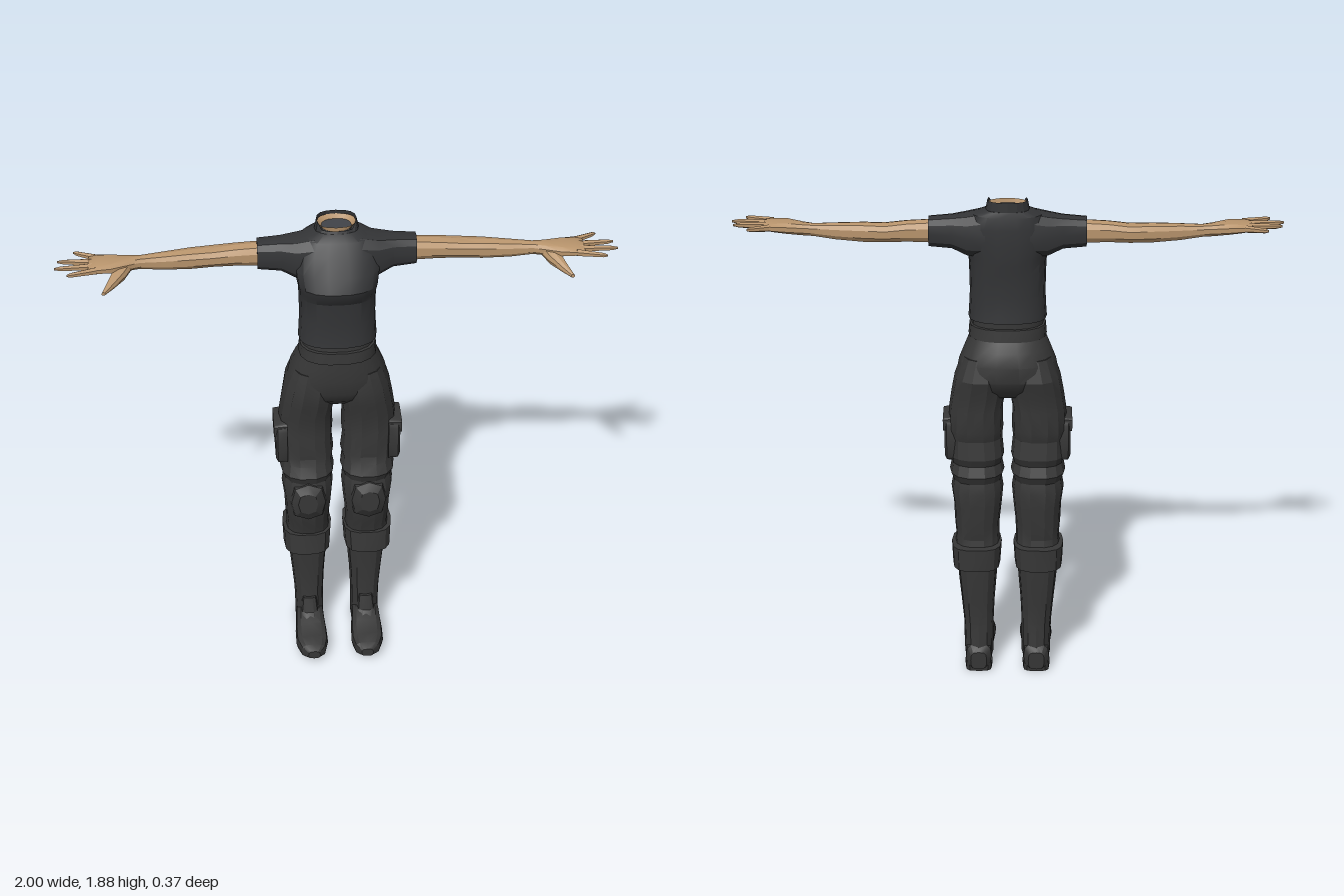
import * as THREE from 'three';
import { toCreasedNormals } from 'three/addons/utils/BufferGeometryUtils.js';

const mat = (name, color, side = THREE.FrontSide) => {
  const m = new THREE.MeshStandardMaterial({ color, side });
  m.name = name;
  return m;
};

// Skin a tube through sections [t, a0, a1, b0, b1] along an axis.
// axis y: a = x, b = z (top to bottom); axis x: a = y, b = z; axis z: a = x, b = y (ascending).
function loft(axis, sections, { sides = 12, n = 2.4, s = 1, caps = true, crease = 0.45 } = {}) {
  const pos = [], idx = [];
  const put = (t, a, b) => {
    const p = axis === 'y' ? [a, t, b] : axis === 'x' ? [t, a, b] : [a, b, t];
    pos.push(p[0] * s, p[1], p[2]);
  };
  const tri = (a, b, c) => (s > 0 ? idx.push(a, b, c) : idx.push(a, c, b));
  const pow = (v) => Math.sign(v) * Math.pow(Math.abs(v), 2 / n);
  for (const [t, a0, a1, b0, b1] of sections) {
    for (let j = 0; j < sides; j++) {
      const q = (j / sides) * Math.PI * 2;
      put(t, (a0 + a1) / 2 + ((a1 - a0) / 2) * pow(Math.cos(q)),
        (b0 + b1) / 2 + ((b1 - b0) / 2) * pow(Math.sin(q)));
    }
  }
  const last = sections.length - 1;
  for (let i = 0; i < last; i++) {
    for (let j = 0; j < sides; j++) {
      const k = (j + 1) % sides, p = i * sides, r = p + sides;
      tri(p + j, p + k, r + k);
      tri(p + j, r + k, r + j);
    }
  }
  if (caps) {
    for (const i of [0, last]) {
      const [t, a0, a1, b0, b1] = sections[i];
      const c = pos.length / 3;
      put(t, (a0 + a1) / 2, (b0 + b1) / 2);
      for (let j = 0; j < sides; j++) {
        const u = i * sides + j, v = i * sides + ((j + 1) % sides);
        if (i === 0) tri(c, v, u); else tri(c, u, v);
      }
    }
  }
  const g = new THREE.BufferGeometry();
  g.setAttribute('position', new THREE.Float32BufferAttribute(pos, 3));
  g.setIndex(idx);
  return toCreasedNormals(g, crease);
}

// Sections symmetric about x = 0: [y, halfWidth, zBack, zFront]
const sym = (rows) => rows.map(([y, w, z0, z1]) => [y, -w, w, z0, z1]);

export function createModel() {
  const model = new THREE.Group();
  model.name = 'figure';
  const shirt = mat('shirtCharcoal', 0x333436);
  const collarMat = mat('collarCharcoal', 0x333436, THREE.DoubleSide);
  const pants = mat('trouserGrey', 0x373737);
  const boots = mat('bootGrey', 0x363636);
  const skin = mat('skin', 0xb8946c);
  const lining = mat('neckSkin', 0xb8946c, THREE.DoubleSide);
  const hollow = mat('neckHollow', 0x414449);
  const add = (parent, name, geo, m) => {
    const mesh = new THREE.Mesh(geo, m);
    mesh.name = name;
    parent.add(mesh);
  };

  // Shirt body
  add(model, 'shirtBody', loft('y', sym([
    [1.845, 0.08, -0.13, -0.015], [1.825, 0.125, -0.135, 0.015], [1.78, 0.15, -0.14, 0.045],
    [1.72, 0.155, -0.14, 0.085], [1.67, 0.147, -0.14, 0.112], [1.645, 0.142, -0.138, 0.105],
    [1.61, 0.14, -0.135, 0.082], [1.52, 0.138, -0.128, 0.075], [1.445, 0.142, -0.134, 0.08],
    [1.425, 0.144, -0.136, 0.083],
  ]), { sides: 18, n: 2.5 }), shirt);

  // Standing collar with a dip at the front, and the open neck inside it
  const collar = loft('y', sym([[1.88, 0.072, -0.128, -0.02], [1.83, 0.082, -0.13, -0.008]]),
    { sides: 16, caps: false });
  const p = collar.attributes.position;
  for (let i = 0; i < p.count; i++) {
    if (p.getY(i) > 1.86 && p.getZ(i) > -0.045 && Math.abs(p.getX(i)) < 0.055) p.setY(i, 1.855);
  }
  collar.computeVertexNormals();
  add(model, 'collar', collar, collarMat);
  add(model, 'neckLining', loft('y', sym([[1.868, 0.069, -0.124, -0.024], [1.85, 0.052, -0.114, -0.026]]),
    { sides: 16, caps: false }), lining);
  add(model, 'neckHollow', loft('y', sym([[1.852, 0.054, -0.115, -0.025], [1.842, 0.054, -0.115, -0.025]]),
    { sides: 16 }), hollow);

  // Waist, belt and seat of the trousers
  add(model, 'waist', loft('y', sym([[1.435, 0.132, -0.13, 0.07], [1.39, 0.133, -0.13, 0.075]]), { sides: 18 }), pants);
  add(model, 'belt', loft('y', sym([[1.403, 0.14, -0.143, 0.086], [1.358, 0.144, -0.148, 0.09]]), { sides: 18, n: 2.5 }), pants);
  add(model, 'seat', loft('y', sym([
    [1.365, 0.137, -0.142, 0.078], [1.32, 0.157, -0.168, 0.08], [1.27, 0.178, -0.186, 0.08],
    [1.21, 0.19, -0.184, 0.073], [1.17, 0.165, -0.165, 0.055], [1.135, 0.1, -0.13, 0.02],
  ]), { sides: 18, n: 2.4 }), pants);

  for (const s of [1, -1]) {
    const side = new THREE.Group();
    side.name = s > 0 ? 'leftLimbs' : 'rightLimbs';
    model.add(side);

    // Sleeve and bare arm
    add(side, 'sleeve', loft('x', [
      [0.08, 1.66, 1.84, -0.132, 0.03], [0.145, 1.665, 1.826, -0.125, 0.022],
      [0.2, 1.692, 1.817, -0.11, 0.0], [0.284, 1.7, 1.81, -0.105, -0.008],
    ], { s }), shirt);
    add(side, 'arm', loft('x', [
      [0.26, 1.712, 1.8, -0.096, -0.018], [0.36, 1.716, 1.794, -0.096, -0.018],
      [0.44, 1.715, 1.785, -0.1, -0.018], [0.52, 1.713, 1.785, -0.088, -0.014],
      [0.62, 1.718, 1.78, -0.07, -0.012], [0.7, 1.728, 1.775, -0.056, -0.012],
      [0.74, 1.73, 1.777, -0.058, 0.005], [0.8, 1.736, 1.782, -0.066, 0.035],
      [0.85, 1.744, 1.78, -0.07, 0.043], [0.88, 1.75, 1.775, -0.064, 0.042],
    ], { s, sides: 10 }), skin);

    // Fingers: [root z, tip x, tip z], then the thumb
    for (const [rz, tx, tz] of [[0.032, 0.955, 0.064], [0.004, 1.0, 0.016], [-0.025, 0.99, -0.03], [-0.052, 0.935, -0.088]]) {
      const seg = (f, r) => {
        const x = 0.85 + (tx - 0.85) * f, z = rz + (tz - rz) * f, y = 1.763 + 0.003 * f;
        return [x, y - r, y + r, z - r, z + r];
      };
      add(side, 'finger', loft('x', [seg(0, 0.014), seg(0.5, 0.011), seg(0.85, 0.009), seg(1, 0.004)],
        { s, sides: 6, n: 2 }), skin);
    }
    add(side, 'thumb', loft('z', [
      [-0.01, 0.725, 0.79, 1.725, 1.768], [0.03, 0.75, 0.805, 1.713, 1.755],
      [0.07, 0.79, 0.822, 1.706, 1.732], [0.1, 0.822, 0.836, 1.702, 1.715],
    ], { s, sides: 8 }), skin);

    // Trouser leg with folds
    add(side, 'trouserLeg', loft('y', [
      [1.29, 0.015, 0.165, -0.16, 0.06], [1.21, 0.003, 0.195, -0.183, 0.072],
      [1.14, 0.007, 0.208, -0.165, 0.06], [1.08, 0.018, 0.217, -0.156, 0.045],
      [1.0, 0.016, 0.222, -0.157, 0.036], [0.96, 0.02, 0.215, -0.145, 0.04],
      [0.89, 0.013, 0.216, -0.154, 0.036], [0.86, 0.02, 0.209, -0.142, 0.045],
      [0.82, 0.012, 0.217, -0.158, 0.066], [0.79, 0.022, 0.205, -0.145, 0.055],
      [0.75, 0.016, 0.212, -0.153, 0.064], [0.68, 0.022, 0.203, -0.145, 0.063],
      [0.61, 0.03, 0.2, -0.14, 0.052], [0.55, 0.032, 0.195, -0.13, 0.03],
      [0.5, 0.03, 0.2, -0.14, 0.02],
    ], { s, sides: 14, n: 2.5, crease: 0.35 }), pants);
    add(side, 'kneePad', loft('z', [
      [0.02, 0.035, 0.192, 0.6, 0.8], [0.06, 0.05, 0.18, 0.625, 0.79], [0.08, 0.08, 0.155, 0.665, 0.76],
    ], { s, sides: 8, n: 2.6 }), pants);
    add(side, 'cuff', loft('y', [
      [0.525, 0.022, 0.212, -0.165, 0.035], [0.435, 0.028, 0.208, -0.163, 0.043],
    ], { s, sides: 14, n: 3 }), pants);

    // Thigh pocket with its flap
    add(side, 'thighPocket', loft('x', [
      [0.19, 0.87, 1.045, -0.117, 0.033], [0.226, 0.872, 1.04, -0.117, 0.033], [0.234, 0.885, 1.03, -0.105, 0.022],
    ], { s, sides: 16, n: 6 }), pants);
    add(side, 'pocketFlap', loft('x', [
      [0.19, 0.985, 1.052, -0.112, 0.026], [0.24, 0.99, 1.045, -0.11, 0.024],
    ], { s, sides: 16, n: 6 }), pants);

    // Boot: shaft, top band, foot, tongue and heel
    add(side, 'bootShaft', loft('y', [
      [0.46, 0.036, 0.192, -0.142, -0.002], [0.38, 0.042, 0.186, -0.14, -0.004],
      [0.28, 0.05, 0.176, -0.134, -0.008], [0.19, 0.054, 0.168, -0.132, -0.004],
      [0.12, 0.054, 0.166, -0.142, 0.005], [0.05, 0.055, 0.165, -0.148, 0.02],
    ], { s, sides: 12 }), boots);
    add(side, 'bootFoot', loft('z', [
      [-0.155, 0.08, 0.142, 0.012, 0.085], [-0.135, 0.062, 0.16, 0.008, 0.11],
      [-0.05, 0.056, 0.165, 0.012, 0.13], [0.01, 0.054, 0.168, 0.012, 0.125],
      [0.06, 0.049, 0.172, 0.01, 0.1], [0.12, 0.047, 0.172, 0.008, 0.082],
      [0.165, 0.058, 0.155, 0.012, 0.075], [0.19, 0.082, 0.128, 0.025, 0.06],
    ], { s, sides: 12, n: 3.2 }), boots);
    add(side, 'bootTongue', loft('y', [
      [0.18, 0.085, 0.138, -0.03, 0.006], [0.12, 0.078, 0.146, -0.03, 0.026], [0.085, 0.078, 0.146, -0.03, 0.075],
    ], { s, sides: 10, n: 3 }), boots);
    add(side, 'heel', loft('y', [
      [0.03, 0.058, 0.164, -0.15, -0.05], [0, 0.06, 0.162, -0.148, -0.055],
    ], { s, sides: 12, n: 3.5 }), boots);
  }
  return model;
}
